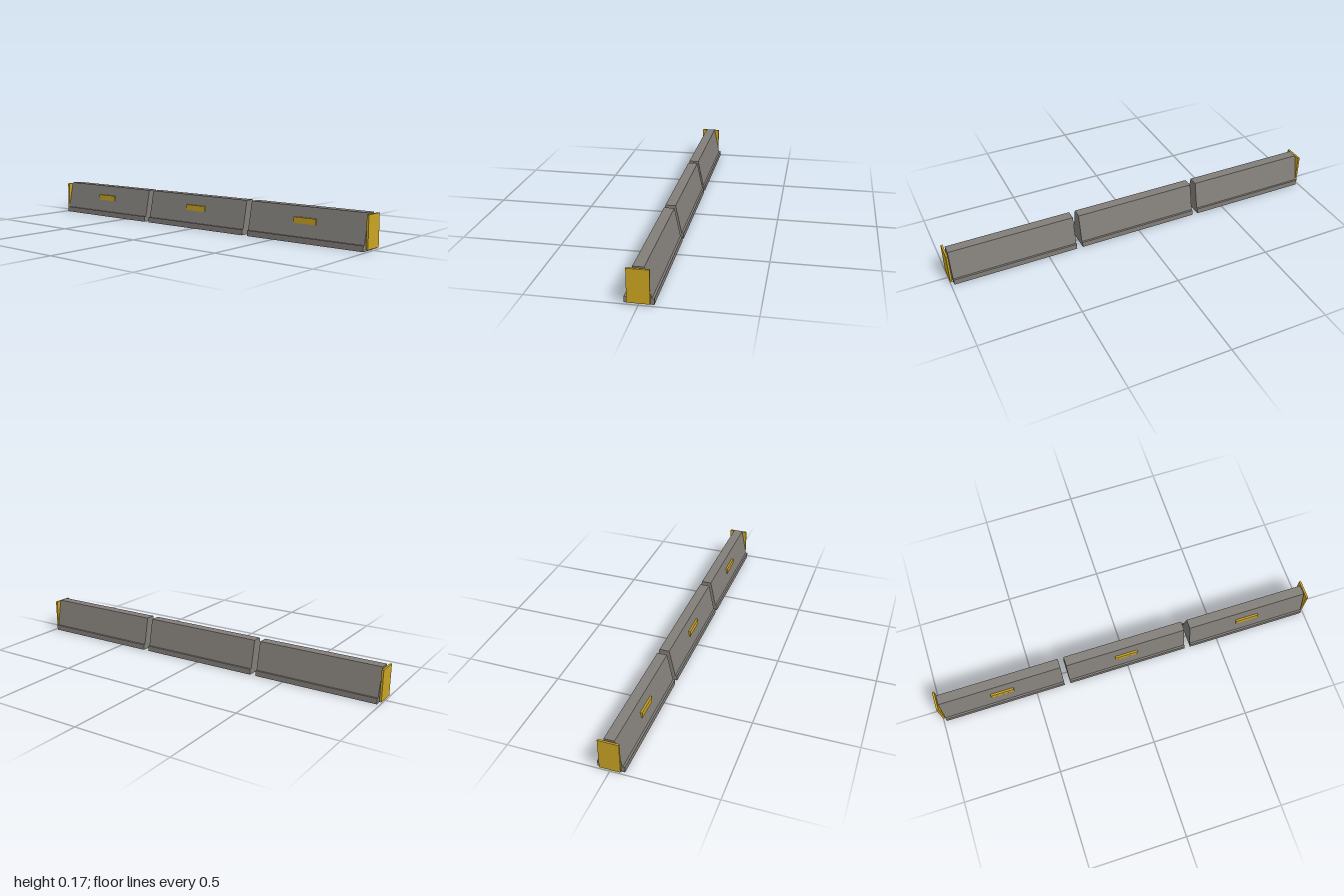
import * as THREE from 'three';

export function createModel() {
  const model = new THREE.Group();
  model.name = 'roadBarrier';

  const concrete = new THREE.MeshStandardMaterial({ name: 'concreteGrey', color: 0x827e79 });
  const yellow = new THREE.MeshStandardMaterial({ name: 'safetyYellow', color: 0xcaa422 });

  const length = 0.636;
  const pitch = 0.667;

  // Barrier cross-section: stepped foot with a tapered wall above
  const half = [[0.065, 0], [0.065, 0.028], [0.055, 0.028], [0.025, 0.17]];
  const outline = [...half, ...half.map(([z, y]) => [-z, y]).reverse()];
  const profile = new THREE.Shape(outline.map(([z, y]) => new THREE.Vector2(z, y)));

  // Run the section along x
  const blockGeometry = new THREE.ExtrudeGeometry(profile, { depth: length, bevelEnabled: false });
  blockGeometry.translate(0, 0, -length / 2);
  blockGeometry.rotateY(Math.PI / 2);

  const reflectorGeometry = new THREE.BoxGeometry(0.122, 0.029, 0.016);
  const plateGeometry = new THREE.BoxGeometry(0.01, 0.157, 0.1);

  const add = (parent, name, geometry, material, x, y, z) => {
    const mesh = new THREE.Mesh(geometry, material);
    mesh.name = name;
    mesh.position.set(x, y, z);
    parent.add(mesh);
  };

  // Three blocks, each with a reflector on its front
  ['right', 'middle', 'left'].forEach((place, i) => {
    const section = new THREE.Group();
    section.name = place + 'Section';
    section.position.x = (i - 1) * pitch;
    add(section, 'barrierBlock', blockGeometry, concrete, 0, 0, 0);
    add(section, 'reflector', reflectorGeometry, yellow, 0, 0.1045, 0.038);
    model.add(section);
  });

  // End plates
  for (const side of [-1, 1]) {
    add(model, side > 0 ? 'leftEndPlate' : 'rightEndPlate', plateGeometry, yellow, side * 0.995, 0.0865, 0);
  }

  return model;
}
